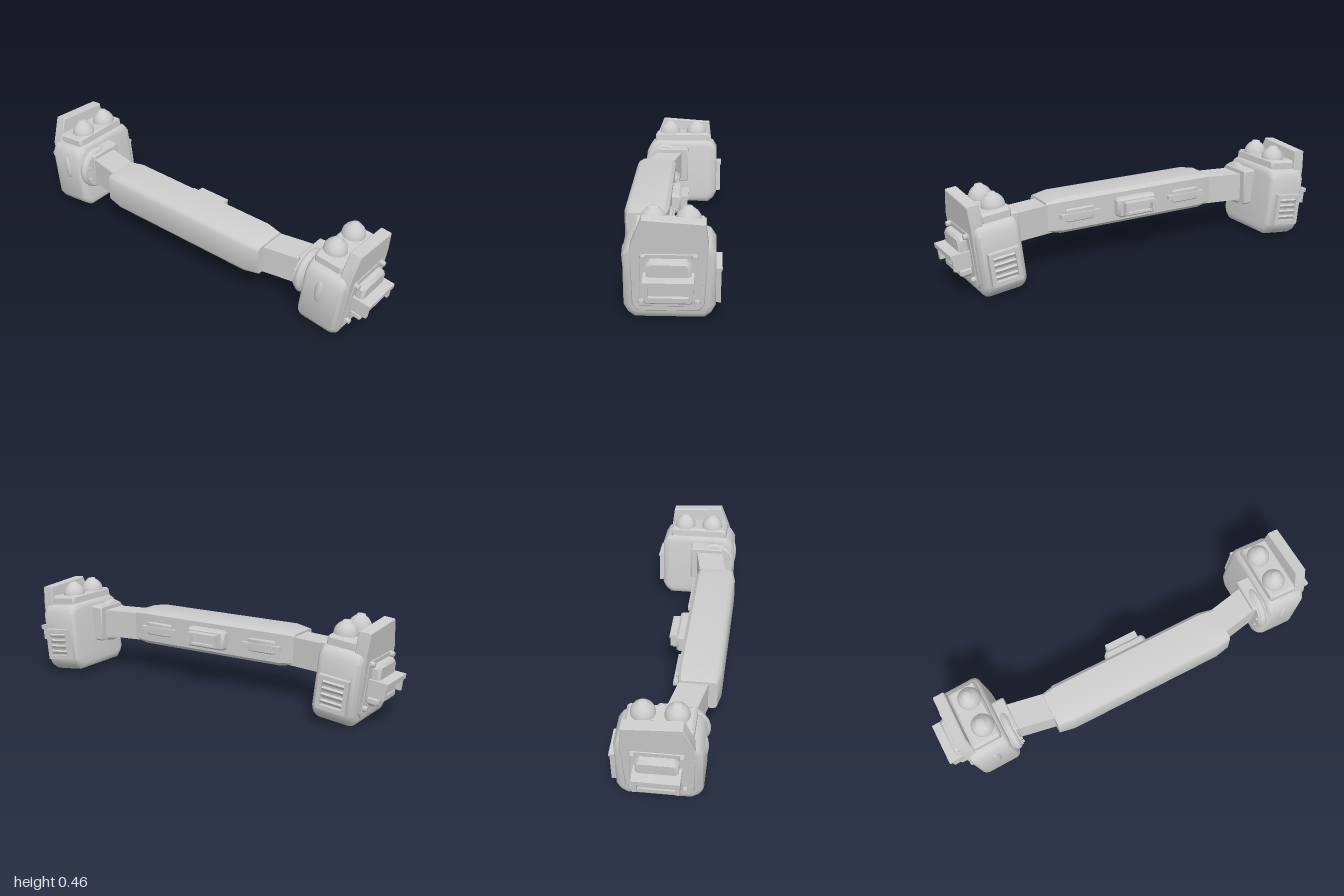
import * as THREE from 'three';
import { toCreasedNormals } from 'three/addons/utils/BufferGeometryUtils.js';

const grey = new THREE.MeshStandardMaterial({ color: 0xcccccc });
grey.name = 'plain light grey';

function add(parent, name, geometry, x = 0, y = 0, z = 0) {
  const mesh = new THREE.Mesh(geometry, grey);
  mesh.name = name;
  mesh.position.set(x, y, z);
  parent.add(mesh);
  return mesh;
}

// Box given by its limits on each axis
function block(parent, name, [x0, x1], [y0, y1], [z0, z1]) {
  return add(parent, name, new THREE.BoxGeometry(x1 - x0, y1 - y0, z1 - z0),
    (x0 + x1) / 2, (y0 + y1) / 2, (z0 + z1) / 2);
}

// Solid from a [z, y] outline running from x0 to x1, with bevelled ends
function slab(parent, name, outline, x0, x1, size, thickness = size, segments = 1) {
  const shape = new THREE.Shape(outline.map(([z, y]) => new THREE.Vector2(-z, y)));
  const geometry = new THREE.ExtrudeGeometry(shape, {
    depth: x1 - x0 - 2 * thickness, bevelEnabled: true, bevelSize: size, bevelThickness: thickness,
    bevelOffset: -size, bevelSegments: segments, steps: 1,
  });
  geometry.rotateY(Math.PI / 2).translate(x0 + thickness, 0, 0);
  return add(parent, name, toCreasedNormals(geometry, 0.65));
}

// Rectangle with cut corners as [z, y] points
function cutRect(z0, z1, y0, y1, c) {
  return [[z0 + c, y0], [z1 - c, y0], [z1, y0 + c], [z1, y1 - c],
    [z1 - c, y1], [z0 + c, y1], [z0, y1 - c], [z0, y0 + c]];
}

function buildPod() {
  const pod = new THREE.Group();
  pod.name = 'pod';
  pod.position.set(0.79, 0.19, 0);
  pod.rotation.z = -0.115;

  // Main housing
  slab(pod, 'podBody', [[0.14, -0.184], [0.17, -0.16], [0.187, -0.128], [0.187, 0.11], [0.165, 0.145], [0.135, 0.165],
    [-0.14, 0.165], [-0.175, 0.15], [-0.196, 0.115], [-0.196, -0.128], [-0.18, -0.16], [-0.15, -0.184]],
  -0.105, 0.105, 0.03, 0.03, 3);

  // Outer shield panel rising above the housing
  slab(pod, 'shieldPanel', [[0.15, -0.115], [0.125, -0.143], [-0.125, -0.143], [-0.15, -0.115],
    [-0.165, 0.15], [-0.153, 0.252], [0.105, 0.27], [0.155, 0.145]], 0.055, 0.112, 0.004);
  slab(pod, 'innerPanel', [[0.12, -0.12], [-0.13, -0.12], [-0.122, 0.12], [0.113, 0.12]], 0.105, 0.115, 0.003);

  // Hexagonal bolts and edge rivets
  for (const [y, z] of [[0.108, 0.1], [0.108, -0.11], [-0.095, 0.11], [-0.095, -0.12]]) {
    add(pod, 'panelBolt', new THREE.CylinderGeometry(0.012, 0.014, 0.02, 6).rotateZ(-Math.PI / 2), 0.126, y, z);
  }
  for (let i = 0; i < 7; i++) {
    for (const z of [0.135, -0.14]) {
      add(pod, 'rivet', new THREE.SphereGeometry(0.003, 6, 4), 0.111, -0.07 + i * 0.025, z);
    }
  }

  // Side hatch with protruding shelf and rails
  slab(pod, 'hatch', cutRect(-0.097, 0.088, -0.09, 0.104, 0.018), 0.11, 0.158, 0.012);
  block(pod, 'shelfTop', [0.115, 0.206], [0.015, 0.037], [-0.108, 0.1]);
  block(pod, 'shelfBack', [0.115, 0.172], [-0.04, 0.02], [-0.085, 0.078]);
  for (const z of [0.087, -0.095]) {
    block(pod, 'shelfPost', [0.115, 0.198], [-0.042, 0.02], [z - 0.009, z + 0.009]);
  }
  slab(pod, 'lowerRail', cutRect(-0.103, 0.095, -0.078, -0.044, 0.007), 0.115, 0.172, 0.006);

  // Top platform and its two domes
  slab(pod, 'topPlatform', cutRect(-0.155, 0.145, 0.13, 0.203, 0.012), -0.088, 0.056, 0.01);
  const domeProfile = [[0.055, 0], [0.055, 0.008], [0.052, 0.023], [0.044, 0.038], [0.033, 0.05],
    [0.022, 0.058], [0.018, 0.065], [0, 0.067]].map(([r, y]) => new THREE.Vector2(r, y));
  for (const z of [-0.081, 0.065]) {
    add(pod, 'dome', new THREE.LatheGeometry(domeProfile, 28), -0.034, 0.2, z);
  }

  // Oval boss on the front
  const boss = add(pod, 'frontBoss', new THREE.SphereGeometry(1, 20, 12), -0.01, 0.045, 0.185);
  boss.scale.set(0.02, 0.062, 0.014);

  // Louvred vent on the back
  const vent = new THREE.Group();
  vent.name = 'rearVent';
  pod.add(vent);
  const frame = new THREE.Shape([[-0.073, -0.12], [0.073, -0.12], [0.073, 0.038], [-0.073, 0.038]]
    .map(([x, y]) => new THREE.Vector2(x, y)));
  frame.holes.push(new THREE.Path([[-0.053, -0.1], [-0.053, 0.018], [0.053, 0.018], [0.053, -0.1]]
    .map(([x, y]) => new THREE.Vector2(x, y))));
  add(vent, 'ventFrame', new THREE.ExtrudeGeometry(frame, { depth: 0.03, bevelEnabled: false }), 0, 0, -0.217);
  block(vent, 'ventLip', [-0.073, 0.073], [0.024, 0.038], [-0.222, -0.19]);
  for (let i = 0; i < 4; i++) {
    const slat = add(vent, 'ventSlat', new THREE.BoxGeometry(0.108, 0.016, 0.012), 0, -0.085 + i * 0.029, -0.204);
    slat.rotation.x = -0.5;
  }
  return pod;
}

function buildSide(name) {
  const side = new THREE.Group();
  side.name = name;
  side.add(buildPod());

  // Arm swept back from the beam to the pod
  const arm = new THREE.BoxGeometry(0.26, 0.14, 0.135);
  arm.applyMatrix4(new THREE.Matrix4().set(1, 0, 0, 0, 0, 1, 0, 0, -0.19, 0, 1, 0, 0, 0, 0, 1));
  add(side, 'arm', arm, 0.56, 0.24, 0.08);

  // Round flange with a rim and bolts, and a square bracket behind
  const joint = new THREE.Group();
  joint.name = 'joint';
  joint.position.set(0.672, 0.238, 0.088);
  joint.rotation.z = -0.06;
  side.add(joint);
  add(joint, 'flange', new THREE.CylinderGeometry(0.098, 0.098, 0.05, 32).rotateZ(Math.PI / 2));
  add(joint, 'flangeRim', new THREE.TorusGeometry(0.09, 0.02, 10, 36).rotateY(Math.PI / 2));
  for (let i = 0; i < 8; i++) {
    const a = (i + 0.5) * Math.PI / 4;
    add(joint, 'flangeBolt', new THREE.CylinderGeometry(0.008, 0.008, 0.016, 6).rotateZ(Math.PI / 2),
      -0.027, Math.sin(a) * 0.084, Math.cos(a) * 0.084);
  }
  slab(side, 'bracket', cutRect(-0.038, 0.135, 0.15, 0.332, 0.008), 0.637, 0.71, 0.005);
  return side;
}

export function createModel() {
  const model = new THREE.Group();
  model.name = 'crossbarWithPods';

  // Central beam with tapered ends
  slab(model, 'beam', [[0.035, 0.16], [0.195, 0.16], [0.212, 0.17], [0.22, 0.187], [0.22, 0.308], [0.212, 0.325],
    [0.195, 0.335], [0.035, 0.335], [0.018, 0.318], [0.018, 0.177]], -0.467, 0.467, 0.014, 0.075);

  // Raised box at the middle of the beam's back
  const box = new THREE.Group();
  box.name = 'rearBox';
  model.add(box);
  slab(box, 'rearBoxBase', cutRect(-0.025, 0.03, 0.2, 0.295, 0.01), -0.108, 0.108, 0.012);
  block(box, 'rearBoxTop', [-0.082, 0.082], [0.265, 0.28], [-0.06, -0.02]);
  block(box, 'rearBoxBottom', [-0.082, 0.082], [0.215, 0.225], [-0.045, -0.02]);
  for (const x of [-0.075, 0.075]) {
    block(box, 'rearBoxPost', [x - 0.007, x + 0.007], [0.22, 0.27], [-0.055, -0.02]);
  }

  // Small backing plates with grab bars either side
  for (const s of [-1, 1]) {
    const c = s * 0.3;
    slab(model, 'grabPlate', cutRect(0.005, 0.03, 0.215, 0.28, 0.005), c - 0.075, c + 0.075, 0.005, 0.012);
    block(model, 'grabBar', [c - 0.105, c + 0.105], [0.238, 0.258], [-0.002, 0.026]);
  }

  // Mirrored ends
  model.add(buildSide('leftEnd'));
  const right = buildSide('rightEnd');
  right.scale.x = -1;
  model.add(right);
  return model;
}
